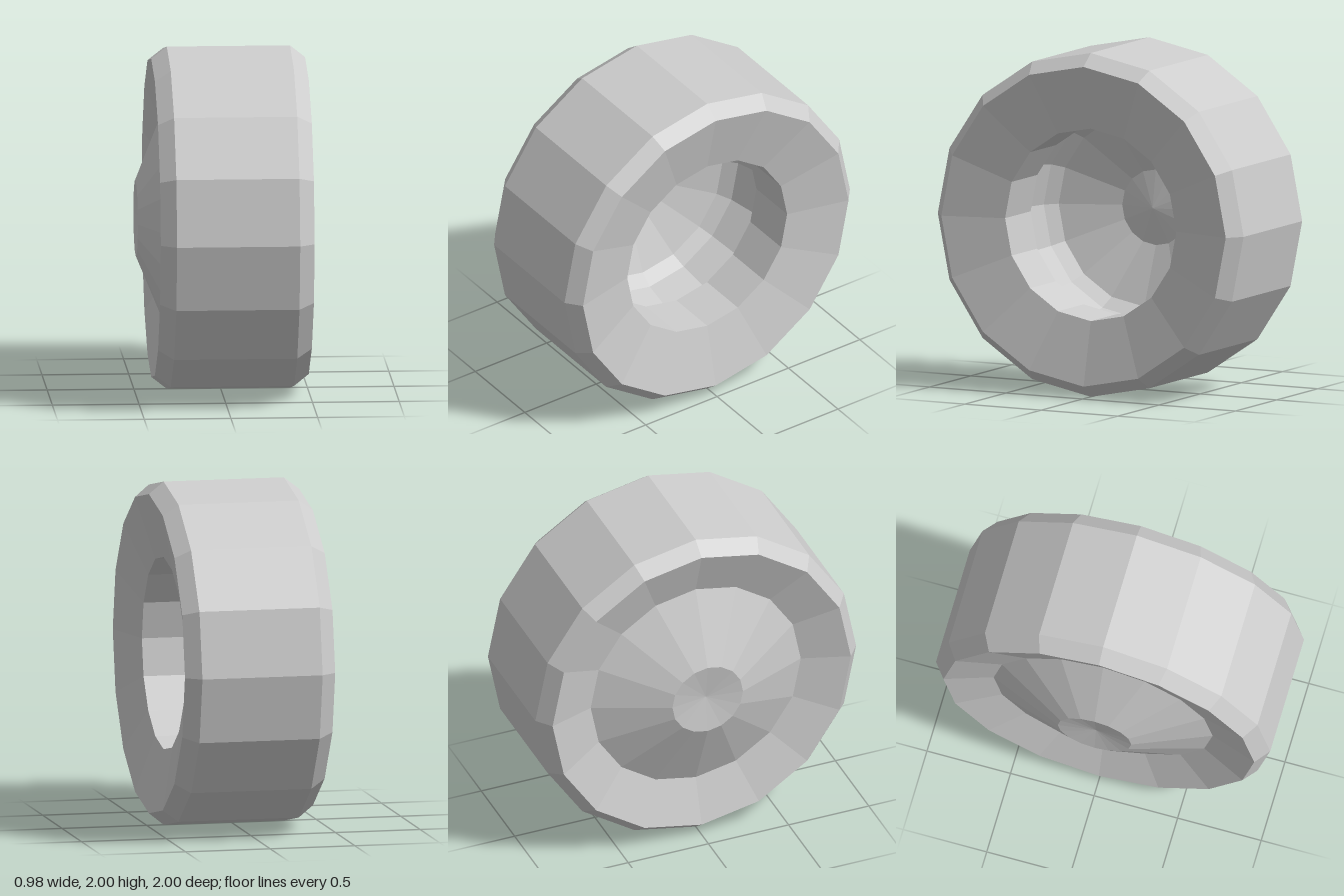
import * as THREE from 'three';

const SIDES = 16;

// Faceted ring turned about the x axis from [radius, x] pairs.
function turned(name, profile, material) {
  const points = profile.map(([r, x]) => new THREE.Vector2(r, x));
  const geometry = new THREE.LatheGeometry(points, SIDES);
  geometry.rotateZ(-Math.PI / 2);
  const mesh = new THREE.Mesh(geometry, material);
  mesh.name = name;
  return mesh;
}

export function createModel() {
  const grey = new THREE.MeshStandardMaterial({ color: 0xcccccc });
  grey.name = 'light grey';
  grey.flatShading = true;

  const wheel = new THREE.Group();
  wheel.name = 'wheel';
  wheel.position.y = 1;

  // Tyre: bevelled tread with dished sidewalls
  wheel.add(turned('tyre', [
    [0.655, -0.31], [0.93, -0.4], [1, -0.31],
    [1, 0.4], [0.93, 0.487], [0.56, 0.4],
  ], grey));

  // Open inner side: bore, lip and recess behind it
  wheel.add(turned('innerBore', [
    [0.56, 0.4], [0.56, 0.09], [0.7, 0.09], [0.62, -0.18], [0.56, -0.25],
  ], grey));

  // Hub: raised cone with a shallow dented cap on the outside
  wheel.add(turned('hubOuter', [
    [0, -0.46], [0.22, -0.49], [0.655, -0.31],
  ], grey));

  // Back of the hub, seen through the bore
  wheel.add(turned('hubInner', [
    [0.56, -0.25], [0.22, -0.39], [0, -0.35],
  ], grey));

  const model = new THREE.Group();
  model.name = 'wheelModel';
  model.add(wheel);
  return model;
}
